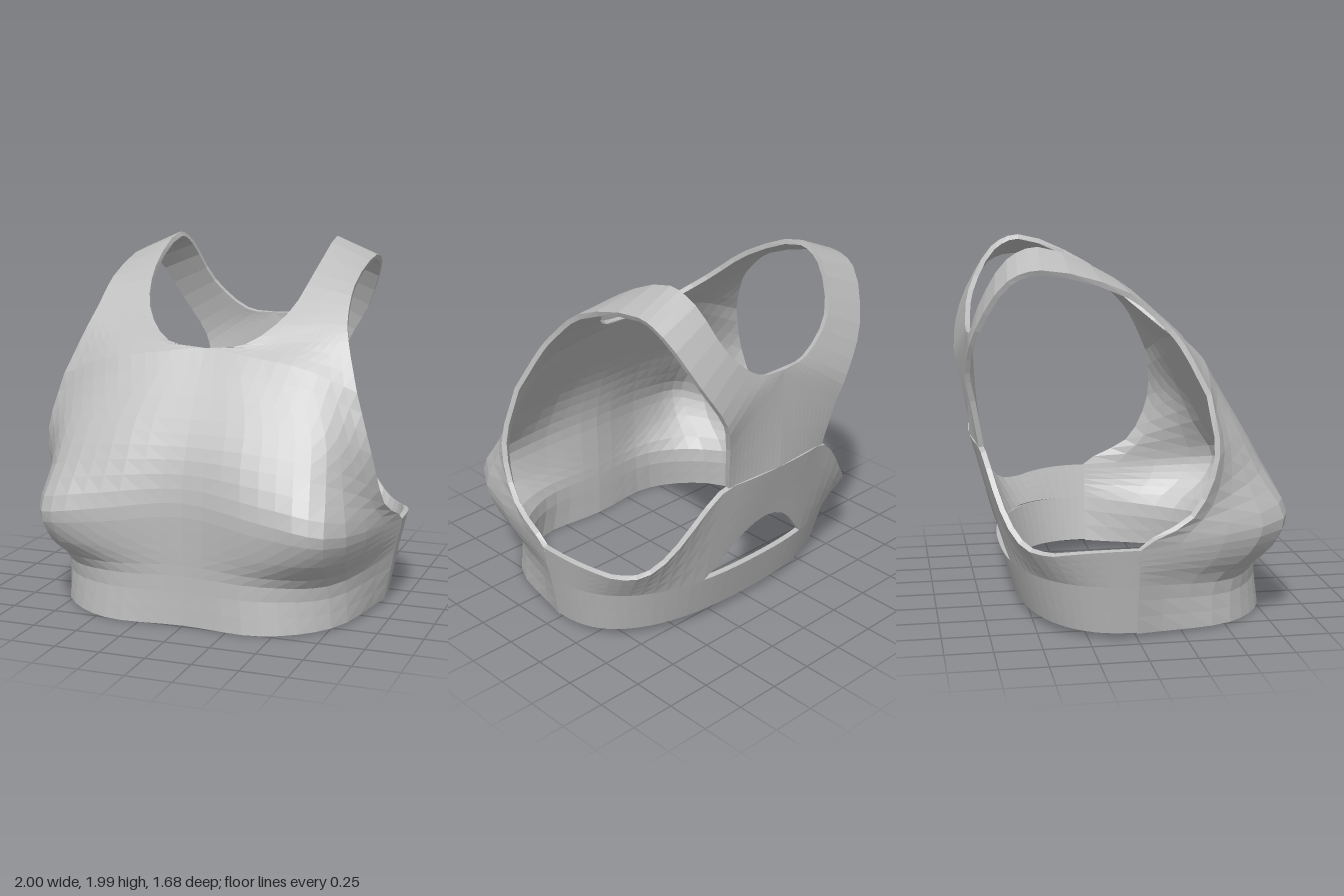
import * as THREE from 'three';

const THICK = 0.028;
const fabric = new THREE.MeshStandardMaterial({ color: 0xbcbcbc, side: THREE.DoubleSide });
fabric.name = 'grey fabric';

const smooth = (pts, sub) => new THREE.CatmullRomCurve3(pts).getPoints((pts.length - 1) * sub);

// Row smoothed through its mirror image, so the centre front has no ridge
const smoothFromCentre = (row, sub) => {
  const mirrored = row[1].clone();
  mirrored.x *= -1;
  return smooth([mirrored, ...row], sub).slice(sub);
};

// Smooth grid running from row to row
function loft(rows, sub) {
  const cols = rows[0].map((_, i) => smooth(rows.map((r) => r[i]), sub));
  return cols[0].map((_, j) => cols.map((c) => c[j]));
}

// Straight grid between two lines of points
const ruled = (a, b, steps) => Array.from({ length: steps + 1 }, (_, j) =>
  a.map((p, i) => p.clone().lerp(b[i], j / steps)));

// Grid moved inwards by the cloth thickness
function insideOf(grid) {
  const nv = grid.length - 1, nu = grid[0].length - 1;
  return grid.map((row, j) => row.map((p, i) => {
    const du = row[Math.min(i + 1, nu)].clone().sub(row[Math.max(i - 1, 0)]);
    const dv = grid[Math.min(j + 1, nv)][i].clone().sub(grid[Math.max(j - 1, 0)][i]);
    const n = du.cross(dv);
    if (Math.abs(p.x) < 1e-4) n.x = 0; // keep the centre line on the mirror plane
    return p.clone().addScaledVector(n.normalize(), -THICK);
  }));
}

// Solid cloth: outer face, inner face and rim; side -1 mirrors it
function cloth(outer, inner, side) {
  const pos = [];
  const tri = (a, b, c) => (side > 0 ? [a, b, c] : [a, c, b]).forEach((p) => pos.push(p.x * side, p.y, p.z));
  const quad = (a, b, c, d) => { tri(a, b, c); tri(a, c, d); };
  const nv = outer.length - 1, nu = outer[0].length - 1;
  for (let j = 0; j < nv; j++) {
    for (let i = 0; i < nu; i++) {
      quad(outer[j][i], outer[j][i + 1], outer[j + 1][i + 1], outer[j + 1][i]);
      quad(inner[j][i], inner[j + 1][i], inner[j + 1][i + 1], inner[j][i + 1]);
    }
    quad(outer[j][0], outer[j + 1][0], inner[j + 1][0], inner[j][0]);
    quad(outer[j + 1][nu], outer[j][nu], inner[j][nu], inner[j + 1][nu]);
  }
  for (let i = 0; i < nu; i++) {
    quad(outer[0][i + 1], outer[0][i], inner[0][i], inner[0][i + 1]);
    quad(outer[nv][i], outer[nv][i + 1], inner[nv][i + 1], inner[nv][i]);
  }
  const g = new THREE.BufferGeometry();
  g.setAttribute('position', new THREE.Float32BufferAttribute(pos, 3));
  g.computeVertexNormals(); // unshared corners give flat facets
  return g;
}

// Front panel rows from hem to neckline, centre to side seam or armhole
const frontRows = [
  [[0, .01, .745], [.45, .01, .76], [.76, .015, .53], [.91, .03, 0]],
  [[0, .28, .74], [.42, .27, .745], [.74, .25, .55], [.96, .3, 0]],
  [[0, .46, .745], [.45, .42, .8], [.77, .41, .73], [.985, .41, 0]],
  [[0, .68, .745], [.45, .63, .82], [.79, .58, .805], [1, .5, 0]],
  [[0, .9, .7], [.42, .88, .73], [.76, .82, .67], [.97, .65, .28]],
  [[0, 1.1, .61], [.4, 1.1, .61], [.72, 1.06, .56], [.93, .95, .42]],
  [[0, 1.45, .4], [.26, 1.42, .425], [.57, 1.37, .43], [.84, 1.26, .395]],
].map((row) => smoothFromCentre(row.map((p) => new THREE.Vector3(...p)), 4));

// Strap and yoke rows: neckline edge, armhole edge
const strapRows = [
  [[.22, 1.478, .375], [.755, 1.51, .27]],
  [[.4, 1.63, .2], [.725, 1.62, .18]],
  [[.47, 1.83, -.05], [.71, 1.77, 0]],
  [[.48, 1.995, -.45], [.71, 1.895, -.46]],
  [[.46, 1.93, -.61], [.7, 1.84, -.63]],
  [[.37, 1.69, -.75], [.59, 1.58, -.79]],
  [[.17, 1.52, -.785], [.45, 1.34, -.835]],
  [[0, 1.5, -.79], [.4, 1.18, -.805]],
  [[0, .93, -.785], [.36, .925, -.76]],
].map(([a, b]) => Array.from({ length: 13 }, (_, i) =>
  new THREE.Vector3(...a).lerp(new THREE.Vector3(...b), i / 12)));

// Rounded line round the back, from side seam to centre back
const ROUND = 2.5;
const backLine = (halfWidth, depth, height) => Array.from({ length: 21 }, (_, i) => {
  const angle = i / 20 * Math.PI / 2;
  const c = Math.cos(angle), s = Math.sin(angle), k = (c ** ROUND + s ** ROUND) ** (1 / ROUND);
  const x = halfWidth * c / k;
  return new THREE.Vector3(x, height(x), -depth * s / k);
});
const archRise = (x) => Math.max(0, 1 - (x / 0.36) ** 2);
const hem = backLine(0.91, 0.555, (x) => 0.05 - 0.02 * x ** 4);
const keyholeSill = backLine(0.96, 0.63, () => 0.3);
const keyholeArch = backLine(0.96, 0.63, (x) => 0.3 + 0.29 * archRise(x));
keyholeArch.forEach((p) => { p.z -= 0.06 * archRise(p.x); });
// Dips under the arm, then climbs to the yoke
const armEdge = backLine(1, 0.785, (x) =>
  0.93 - 0.47 * THREE.MathUtils.smoothstep(x, 0.32, 0.85) + 0.4 * Math.max(0, x - 0.9));

export function createModel() {
  const model = new THREE.Group();
  model.name = 'croppedTop';
  // Front, strap and yoke are smoothed apart so the neckline turns cleanly
  const body = [
    ...loft(frontRows, 3),
    ...loft([frontRows.at(-1), ...strapRows.slice(0, 8)], 3).slice(1),
    ...loft(strapRows.slice(7), 3).slice(1),
  ];
  const bodyInside = insideOf(body);
  const bodyPart = (from, to) => [body.slice(from, to + 1), bodyInside.slice(from, to + 1)];
  const band = (low, high, steps) => {
    const grid = ruled(low, high, steps);
    return [grid, insideOf(grid)];
  };
  const parts = {
    frontPanel: bodyPart(0, 18),
    shoulderStrap: bodyPart(18, 36),
    backYoke: bodyPart(36, 45),
    lowerBackBand: band(hem, keyholeSill, 2),
    upperBackBand: band(keyholeArch, armEdge, 4),
  };
  for (const side of [1, -1]) {
    for (const [name, [outer, inner]] of Object.entries(parts)) {
      const mesh = new THREE.Mesh(cloth(outer, inner, side), fabric);
      mesh.name = name + (side > 0 ? 'Left' : 'Right');
      model.add(mesh);
    }
  }
  return model;
}
